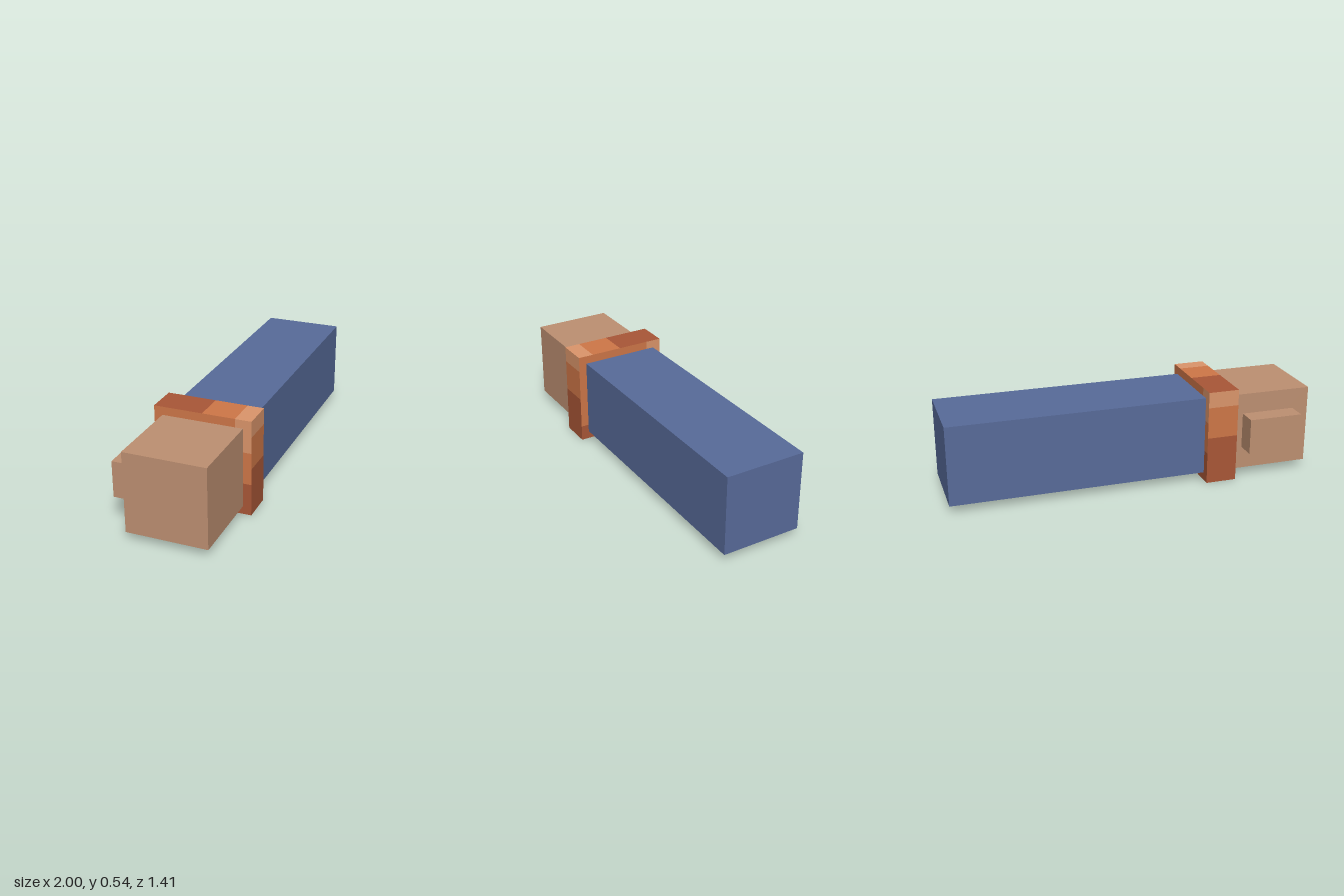
import * as THREE from 'three';

export function createModel() {
  const mat = (name, color) => {
    const m = new THREE.MeshStandardMaterial({ color });
    m.name = name;
    return m;
  };
  const blue = mat('sleeve blue', 0x586b9a);
  const skin = mat('skin tan', 0xbe9072);
  const dark = mat('cuff dark rust', 0xa95737);
  const mid = mat('cuff orange', 0xcf7748);
  const light = mat('cuff light orange', 0xdc966b);

  const root = new THREE.Group();
  root.name = 'blockArm';
  // the arm lies along local x and is turned in plan
  const arm = new THREE.Group();
  arm.name = 'arm';
  arm.rotation.y = Math.PI / 6;
  root.add(arm);

  const midY = 0.268;
  const box = (name, material, x0, x1, h, z0, z1, y) => {
    const mesh = new THREE.Mesh(new THREE.BoxGeometry(x1 - x0, h, z1 - z0), material);
    mesh.name = name;
    mesh.position.set((x0 + x1) / 2, y, (z0 + z1) / 2);
    arm.add(mesh);
  };
  box('sleeve', blue, -0.45, 1.025, 0.443, -0.222, 0.222, midY);
  box('hand', skin, -1.026, -0.53, 0.443, -0.222, 0.222, midY);
  box('thumb', skin, -0.934, -0.63, 0.2, -0.331, -0.2, 0.274);

  // cuff: a closed block whose six faces are tiled with colour patches
  const cuff = new THREE.Group();
  cuff.name = 'cuff';
  cuff.position.set(-0.492, midY, 0);
  arm.add(cuff);
  const L = 0.174, S = 0.535;

  // tiles: [material, u0, u1, v0, v1] as fractions of the face
  const face = (name, w, rx, ry, depth, tiles) => {
    const g = new THREE.Group();
    g.name = name;
    g.rotation.set(rx, ry, 0);
    for (const [material, u0, u1, v0, v1] of tiles) {
      const tile = new THREE.Mesh(new THREE.PlaneGeometry((u1 - u0) * w, (v1 - v0) * S), material);
      tile.name = name + 'Patch';
      tile.position.set(((u0 + u1) / 2 - 0.5) * w, ((v0 + v1) / 2 - 0.5) * S, depth);
      g.add(tile);
    }
    cuff.add(g);
  };
  const bands = [[dark, 0, 1, 0, 1 / 2], [mid, 0, 1, 1 / 2, 5 / 6], [light, 0, 1, 5 / 6, 1]];
  const flipped = bands.map(([m, a, b, c, d]) => [m, a, b, 1 - d, 1 - c]);
  const H = Math.PI / 2;
  face('cuffFront', L, 0, 0, S / 2, bands);
  face('cuffBack', L, 0, Math.PI, S / 2, bands);
  face('cuffTop', L, -H, 0, S / 2, flipped);
  face('cuffBottom', L, H, 0, S / 2, flipped);

  // rims at both ends of the cuff
  const rim = [
    [dark, 0, 5 / 6, 0, 1 / 6], [mid, 0, 5 / 6, 1 / 6, 1],
    [dark, 5 / 6, 1, 0, 1 / 3], [mid, 5 / 6, 1, 1 / 3, 2 / 3], [light, 5 / 6, 1, 2 / 3, 1],
  ];
  face('cuffSleeveRim', S, 0, H, L / 2, rim);
  face('cuffHandRim', S, 0, -H, L / 2, rim);
  return root;
}
